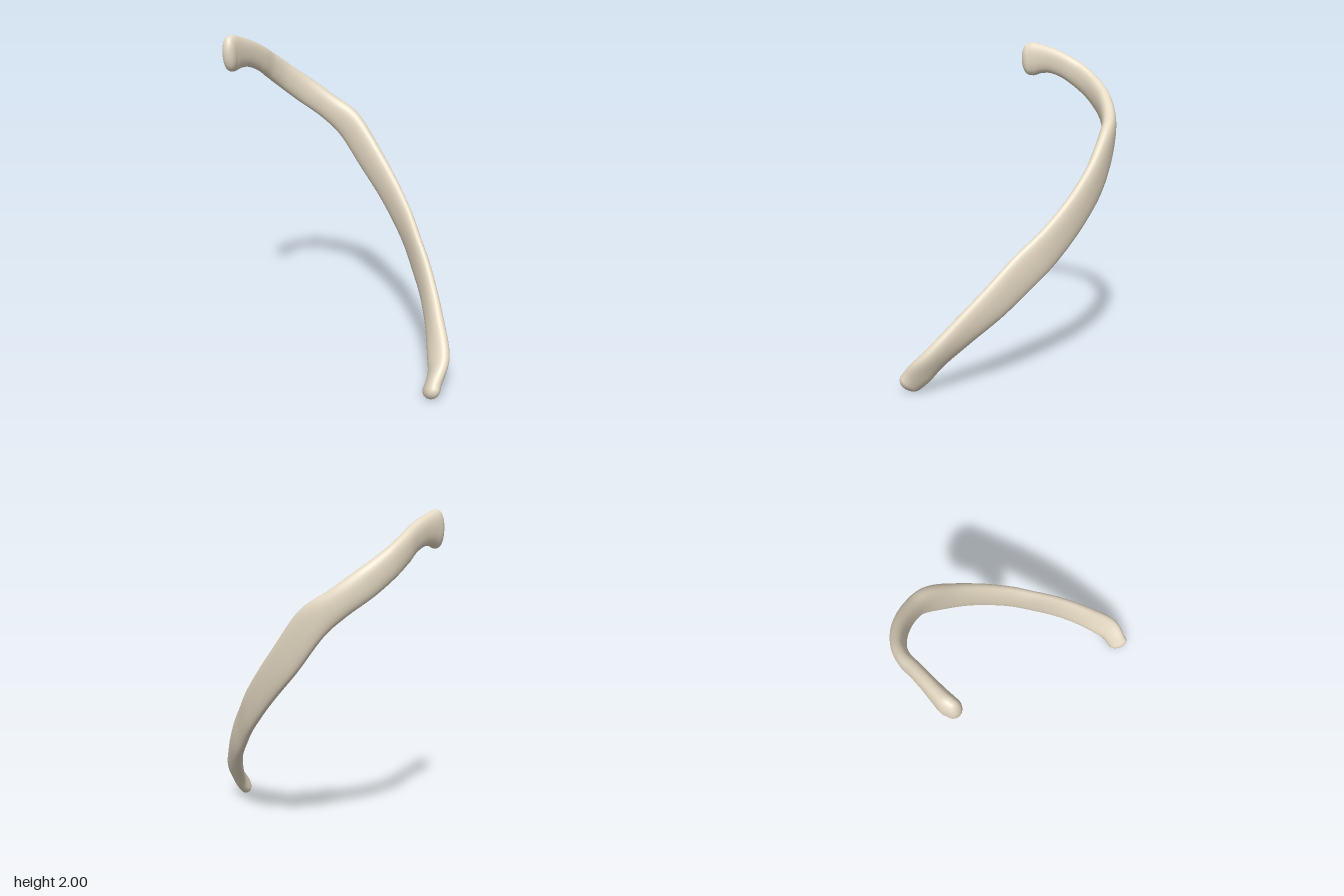
import * as THREE from 'three';

// Stations from head to front end: x, y, z, half height, half thickness, roll (rad)
const STATIONS = [
  [-0.705, 1.885, -0.035, 0.108, 0.046, 0.0],
  [-0.698, 1.887, -0.07, 0.112, 0.05, 0.0],
  [-0.672, 1.885, -0.13, 0.096, 0.046, 0.0],
  [-0.635, 1.87, -0.205, 0.083, 0.042, 0.0],
  [-0.59, 1.83, -0.295, 0.078, 0.04, 0.0],
  [-0.545, 1.77, -0.385, 0.08, 0.04, 0.0],
  [-0.47, 1.69, -0.47, 0.082, 0.042, 0.0],
  [-0.35, 1.59, -0.538, 0.087, 0.045, 0.0],
  [-0.20, 1.48, -0.568, 0.087, 0.046, 0.0],
  [-0.06, 1.37, -0.553, 0.102, 0.045, 0.0],
  [0.10, 1.163, -0.478, 0.109, 0.041, 0.0],
  [0.25, 0.98, -0.362, 0.108, 0.038, 0.0],
  [0.38, 0.81, -0.218, 0.11, 0.036, 0.0],
  [0.48, 0.66, -0.06, 0.112, 0.035, 0.0],
  [0.57, 0.505, 0.10, 0.103, 0.037, 0.08],
  [0.642, 0.345, 0.28, 0.09, 0.041, 0.28],
  [0.688, 0.185, 0.45, 0.085, 0.043, 0.62],
  [0.664, 0.063, 0.56, 0.072, 0.044, 0.62],
];
const SIDES = 32, STEPS = 136, CAP = 9, DOME = 0.052;

const bow = (v, p) => Math.sign(v) * Math.abs(v) ** p;

function loftRib() {
  const path = new THREE.CatmullRomCurve3(
    STATIONS.map(s => new THREE.Vector3(s[0], s[1], s[2])), false, 'catmullrom', 0.5);
  const sizes = new THREE.CatmullRomCurve3(
    STATIONS.map(s => new THREE.Vector3(s[3], s[4], s[5])), false, 'catmullrom', 0.5);

  // Ring list: rounded head, shaft, rounded front end
  const domeRing = (u, side, k) => {
    const a = (k / CAP) * Math.PI / 2;
    return { u, push: side * DOME * Math.cos(a), scale: Math.sin(a) };
  };
  const rings = [];
  for (let k = 0; k < CAP; k++) rings.push(domeRing(0, -1, k));
  for (let i = 0; i <= STEPS; i++) rings.push({ u: i / STEPS, push: 0, scale: 1 });
  for (let k = CAP - 1; k >= 0; k--) rings.push(domeRing(1, 1, k));

  const pos = [], index = [];
  const worldUp = new THREE.Vector3(0, 1, 0);
  for (const { u, push, scale } of rings) {
    const c = path.getPoint(u), s = sizes.getPoint(u);
    const T = path.getTangent(u);
    // Height direction and outward direction, turned by the roll
    const up = worldUp.clone().addScaledVector(T, -T.y).normalize().applyAxisAngle(T, -s.z);
    const out = up.clone().cross(T);
    c.addScaledVector(T, push);
    // Thinner lower border along the shaft
    const thin = 0.1 * Math.sin(Math.PI * u);
    for (let j = 0; j < SIDES; j++) {
      const a = (j / SIDES) * Math.PI * 2;
      const v = bow(Math.sin(a), 0.9);
      const w = bow(Math.cos(a), 0.85) * (1 + thin * v);
      const p = c.clone().addScaledVector(up, v * s.x * scale).addScaledVector(out, w * s.y * scale);
      pos.push(p.x, p.y, p.z);
    }
  }
  for (let i = 0; i < rings.length - 1; i++) {
    for (let j = 0; j < SIDES; j++) {
      const a = i * SIDES + j, b = i * SIDES + (j + 1) % SIDES;
      index.push(a, b, a + SIDES, b, b + SIDES, a + SIDES);
    }
  }
  const geo = new THREE.BufferGeometry();
  geo.setAttribute('position', new THREE.Float32BufferAttribute(pos, 3));
  geo.setIndex(index);
  geo.computeVertexNormals();
  return geo;
}

export function createModel() {
  const group = new THREE.Group();
  group.name = 'rib';
  const bone = new THREE.MeshStandardMaterial({ color: 0xe6dac4 });
  const rib = new THREE.Mesh(loftRib(), bone);
  rib.name = 'ribBone';
  group.add(rib);
  return group;
}
